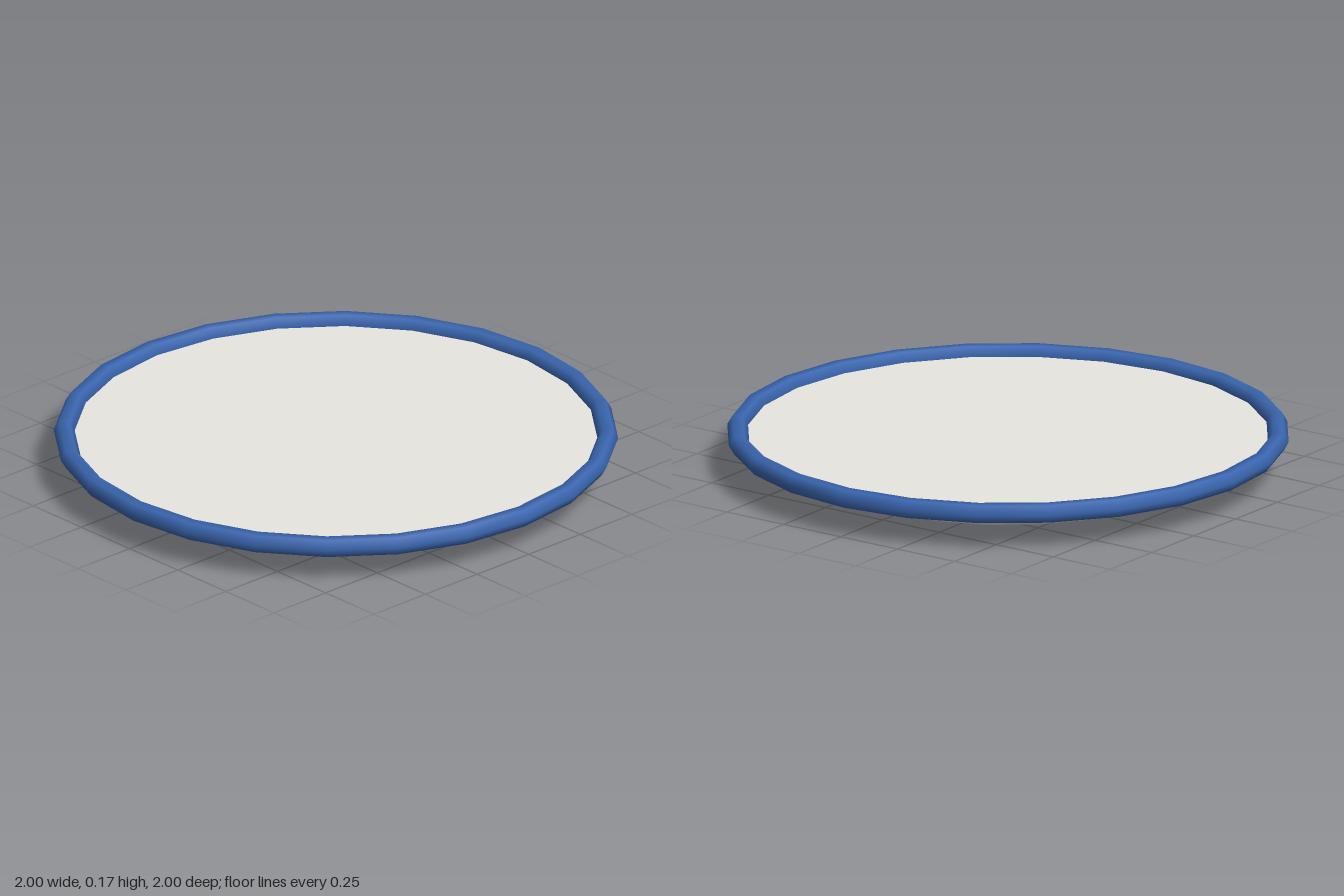
import * as THREE from 'three';

export function createModel() {
  const model = new THREE.Group();
  const sides = 24;

  // Shallow tapered dish with a flat top and base
  const height = 0.133;
  const dish = new THREE.Mesh(
    new THREE.CylinderGeometry(0.963, 0.667, height, sides),
    new THREE.MeshStandardMaterial({ color: 0xe8e6df, flatShading: true })
  );
  dish.name = 'plateBody';
  dish.position.y = height / 2;
  model.add(dish);

  // Rounded rim band with a six-sided tube
  const rim = new THREE.Mesh(
    new THREE.TorusGeometry(0.963, 0.037, 6, sides),
    new THREE.MeshStandardMaterial({ color: 0x3a66b0 })
  );
  rim.name = 'rim';
  rim.rotation.x = Math.PI / 2;
  rim.position.y = 0.135;
  model.add(rim);

  return model;
}
